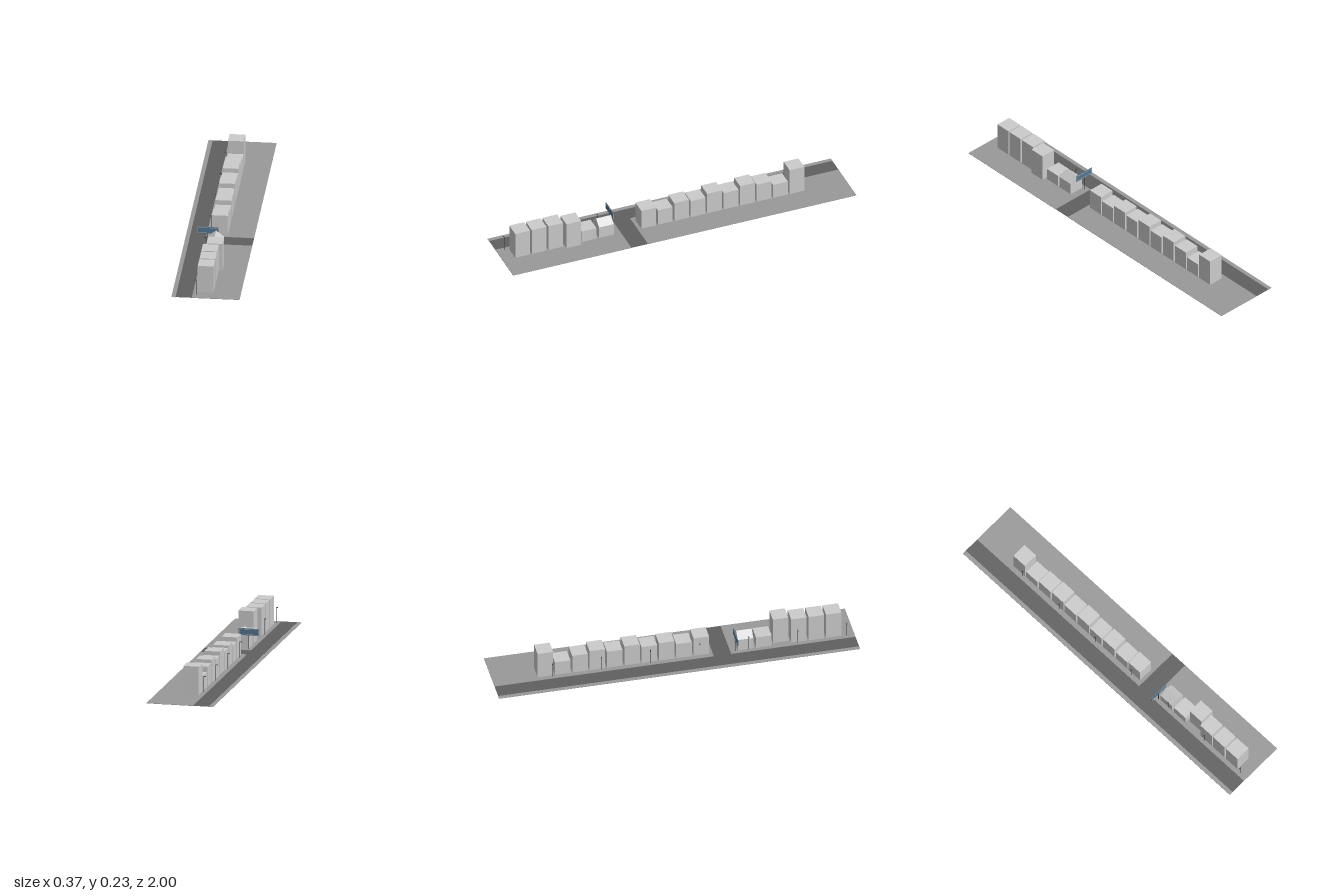
import * as THREE from 'three';

const GROUND = 0.072;
const mat = (color) => new THREE.MeshStandardMaterial({ color, side: THREE.DoubleSide });

export function createModel() {
  const model = new THREE.Group();
  const grey = new THREE.MeshStandardMaterial({ color: 0xcccccc });
  const pavement = mat(0x999999), asphalt = mat(0x606060);
  const metal = mat(0x333a40), blue = mat(0x56768f), pale = mat(0xa9b7c2);

  // Box given by its lower and upper corners
  function box(name, material, [x0, y0, z0], [x1, y1, z1], parent = model) {
    const mesh = new THREE.Mesh(new THREE.BoxGeometry(x1 - x0, y1 - y0, z1 - z0), material);
    mesh.position.set((x0 + x1) / 2, (y0 + y1) / 2, (z0 + z1) / 2);
    mesh.name = name;
    parent.add(mesh);
    return mesh;
  }

  // Thin raised paving either side of the street
  const slab = (name, x0, x1, z0, z1) =>
    box(name, pavement, [x0, GROUND - 0.001, z0], [x1, GROUND + 0.001, z1]);
  slab('farPavement', -0.186, -0.163, -1, 1);
  slab('backBlockGround', -0.075, 0.184, -1, 0.215);
  slab('frontBlockGround', -0.075, 0.184, 0.311, 1);

  // Flat road surfaces
  function road(name, x0, x1, z0, z1) {
    const mesh = new THREE.Mesh(new THREE.PlaneGeometry(x1 - x0, z1 - z0), asphalt);
    mesh.rotation.x = -Math.PI / 2;
    mesh.position.set((x0 + x1) / 2, GROUND, (z0 + z1) / 2);
    mesh.name = name;
    model.add(mesh);
  }
  road('mainRoad', -0.163, -0.075, -1, 1);
  road('sideRoad', -0.075, 0.184, 0.215, 0.311);

  // Buildings: equal footprints, placed by base height and centre
  const W = 0.086, H = 0.158;
  const building = (name, x, base, z, height) =>
    box(name, grey, [x - W / 2, base, z - W / 2], [x + W / 2, base + height, z + W / 2]);

  // Long back row, sunk into the ground by differing amounts
  [0.032, 0.010, 0.032, 0.021, 0.043, 0.023, 0.043, 0.027, 0, GROUND].forEach((base, i) =>
    building('rowBuilding' + (i + 1), -0.004, base, 0.152 - i * 0.096, H));

  // Short front row
  [[-0.007, 0.885], [-0.007, 0.789], [-0.007, 0.692], [0.013, 0.595]].forEach(([x, z], i) =>
    building('tallBuilding' + (i + 1), x, GROUND, z, H));
  building('lowBuilding', -0.009, GROUND, 0.497, 0.07);

  // Gabled house, ridge along z
  const gable = new THREE.Shape([
    [-W / 2, 0], [W / 2, 0], [W / 2, 0.07], [0, 0.102], [-W / 2, 0.07],
  ].map(([x, y]) => new THREE.Vector2(x, y)));
  const house = new THREE.Mesh(
    new THREE.ExtrudeGeometry(gable, { depth: W, bevelEnabled: false }), grey);
  house.position.set(-0.009, GROUND, 0.353);
  house.name = 'gabledHouse';
  model.add(house);

  // Street lamps with a short arm over the road
  for (let i = 0; i < 7; i++) {
    const lamp = new THREE.Group();
    lamp.name = 'streetLamp' + (i + 1);
    lamp.position.set(-0.055, GROUND, 0.956 - i * 0.272);
    box('lampPost', metal, [-0.001, 0, -0.001], [0.001, 0.088, 0.001], lamp);
    box('lampArm', metal, [-0.01, 0.086, -0.001], [0.001, 0.088, 0.001], lamp);
    box('lampHead', metal, [-0.011, 0.084, -0.002], [-0.006, 0.087, 0.002], lamp);
    model.add(lamp);
  }

  // Street sign: post, board and a thin raised border on both faces
  const sign = new THREE.Group();
  sign.name = 'streetSign';
  sign.position.set(-0.055, 0.167, 0.34);
  box('signPost', metal, [-0.0015, -0.106, -0.0015], [0.0015, -0.019, 0.0015], sign);
  box('signBoard', blue, [-0.057, -0.019, -0.002], [0.057, 0.019, 0.002], sign);
  const frame = [[-0.054, 0.014, 0.054, 0.016], [-0.054, -0.016, 0.054, -0.014],
    [-0.054, -0.014, -0.052, 0.014], [0.052, -0.014, 0.054, 0.014]];
  for (const [x0, y0, x1, y1] of frame)
    box('signBorder', pale, [x0, y0, -0.0025], [x1, y1, 0.0025], sign);
  model.add(sign);

  return model;
}
